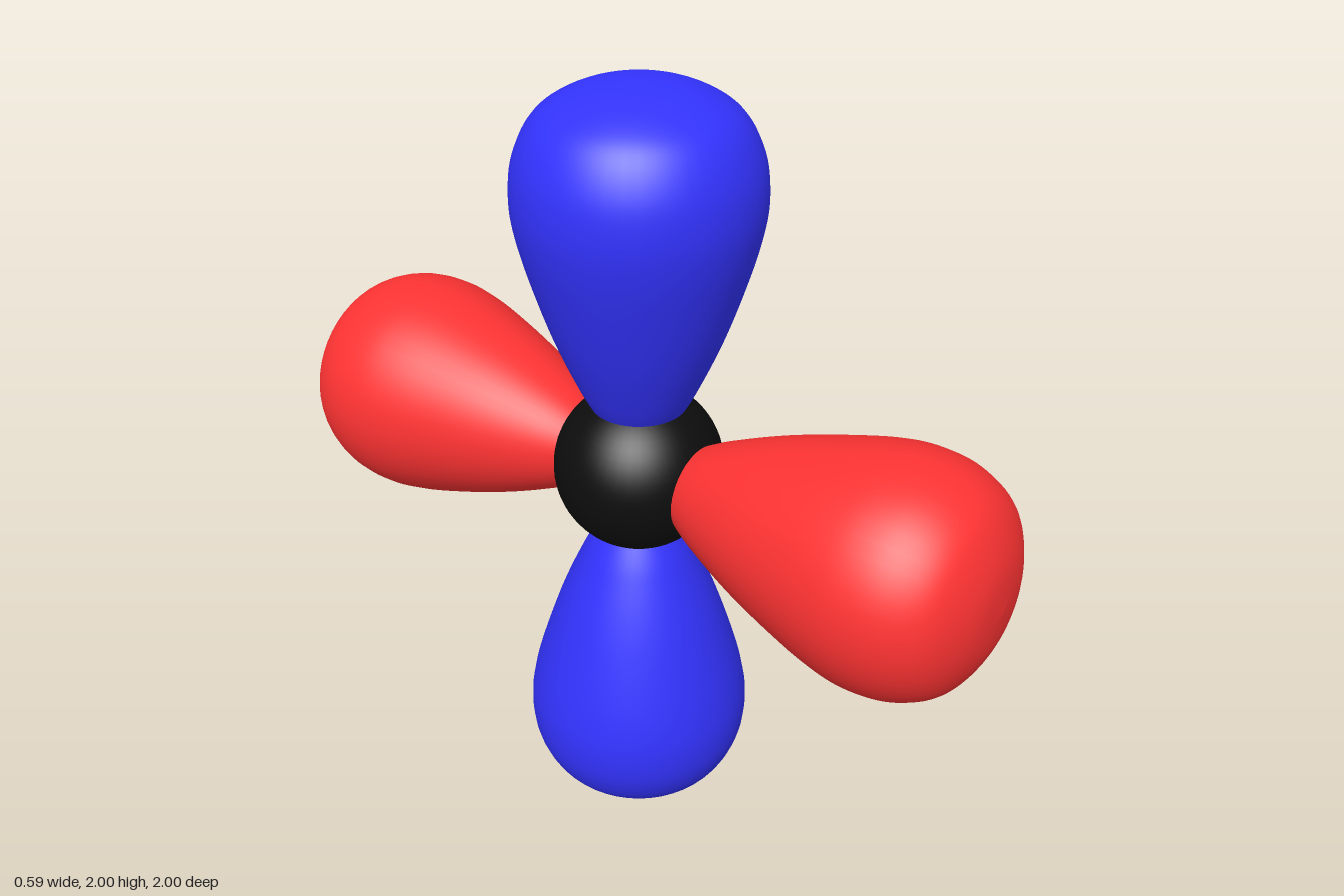
import * as THREE from 'three';

export function createModel() {
  const model = new THREE.Group();
  const blue = new THREE.MeshStandardMaterial({ color: 0x3333ff });
  const red = new THREE.MeshStandardMaterial({ color: 0xff3333 });
  const black = new THREE.MeshStandardMaterial({ color: 0x0d0d0d });

  // Lobe outline (radius, distance from the centre), from pointed root to domed tip
  const outline = new THREE.SplineCurve([
    [0, 0], [0.112, 0.18], [0.158, 0.27], [0.21, 0.395], [0.255, 0.53],
    [0.285, 0.64], [0.297, 0.73], [0.288, 0.82], [0.253, 0.9],
    [0.2, 0.95], [0.11, 0.988], [0, 1],
  ].map(([r, d]) => new THREE.Vector2(r, d)));
  const points = outline.getPoints(60);
  points.forEach((p) => { p.x = Math.max(p.x, 0); });
  const lobeGeometry = new THREE.LatheGeometry(points, 48);

  function addLobe(name, material, y, tilt) {
    const lobe = new THREE.Mesh(lobeGeometry, material);
    lobe.name = name;
    lobe.position.y = y;
    lobe.rotation.x = tilt;
    model.add(lobe);
  }

  // Vertical pair
  addLobe('upperLobe', blue, 1, 0);
  addLobe('lowerLobe', blue, 1, Math.PI);
  // Horizontal pair
  addLobe('frontLobe', red, 1.01, Math.PI / 2);
  addLobe('backLobe', red, 1.01, -Math.PI / 2);

  // Central ball
  const core = new THREE.Mesh(new THREE.SphereGeometry(0.216, 48, 32), black);
  core.name = 'centralBall';
  core.position.y = 1.015;
  model.add(core);

  return model;
}
